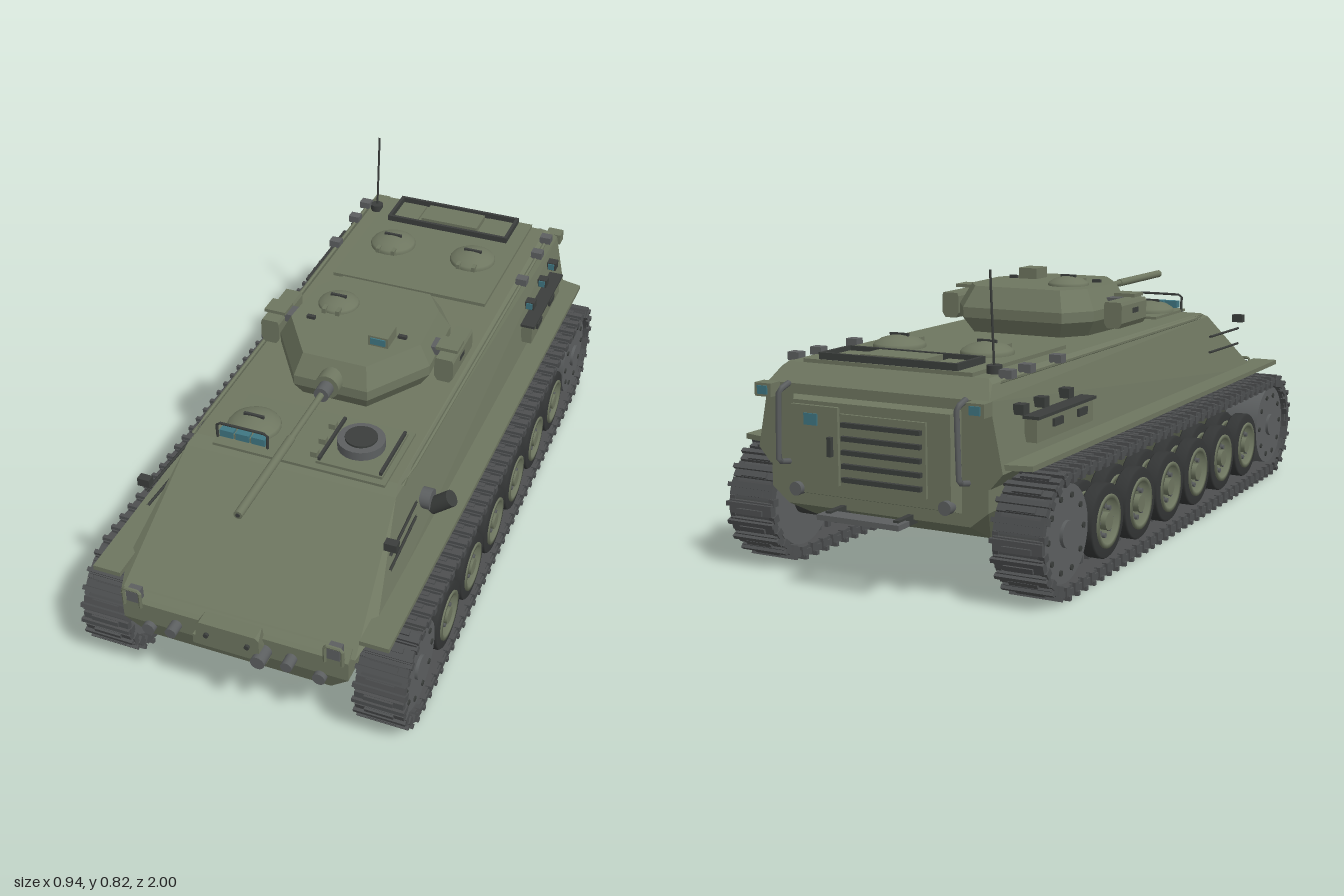
import * as THREE from 'three';
import { mergeGeometries } from 'three/addons/utils/BufferGeometryUtils.js';
import { ConvexGeometry } from 'three/addons/geometries/ConvexGeometry.js';

const mat = (color, flatShading = false) => new THREE.MeshStandardMaterial({ color, flatShading });
const OLIVE = mat(0x6e7660, true), ROUND = mat(0x6e7660), STEEL = mat(0x5c5f60), TRACK = mat(0x4d4f50, true);
const RUBBER = mat(0x343636), DARK = mat(0x3b3e3c), GLASS = mat(0x3f7682);

export function createModel() {
  const model = new THREE.Group();
  let parent = model;
  const add = (name, geo, m, x = 0, y = 0, z = 0) => {
    const mesh = new THREE.Mesh(geo, m);
    mesh.name = name;
    mesh.position.set(x, y, z);
    parent.add(mesh);
    return mesh;
  };
  const box = (name, w, h, d, x, y, z, m = OLIVE) => add(name, new THREE.BoxGeometry(w, h, d), m, x, y, z);
  const cyl = (name, r, h, axis, x, y, z, m = ROUND, r2 = r, n = 20) => {
    const c = add(name, new THREE.CylinderGeometry(r, r2, h, n), m, x, y, z);
    if (axis === 'x') c.rotation.z = -Math.PI / 2;
    if (axis === 'z') c.rotation.x = Math.PI / 2;
    return c;
  };
  const group = (name, build) => {
    const outer = parent;
    parent = new THREE.Group();
    parent.name = name;
    outer.add(parent);
    build(parent);
    parent = outer;
  };
  // Convex solid from the corners of one half
  const solid = (name, half, m = OLIVE) => add(name, new ConvexGeometry(
    half.flatMap(([x, y, z]) => [new THREE.Vector3(x, y, z), new THREE.Vector3(-x, y, z)])), m);
  const rod = (name, pts, r, m = DARK) => add(name, new THREE.TubeGeometry(
    new THREE.CatmullRomCurve3(pts.map(p => new THREE.Vector3(...p)), false, 'catmullrom', 0.05), 16, r, 6), m);
  const sides = fn => [1, -1].forEach(fn);

  group('hull', () => {
    solid('upperHull', [[0.305, 0.545, 0.57], [0.295, 0.56, 0.53], [0.295, 0.562, -0.86], [0.31, 0.55, -0.87],
      [0.325, 0.515, -0.91], [0.36, 0.34, 0.85], [0.36, 0.34, -0.91], [0.335, 0.305, 0.935], [0.325, 0.3, -0.91]]);
    solid('lowerHull', [[0.32, 0.32, 0.92], [0.322, 0.3, 0.95], [0.322, 0.24, 0.95], [0.265, 0.18, 0.93], [0.265, 0.145, 0.84],
      [0.32, 0.31, -0.91], [0.32, 0.24, -0.91], [0.27, 0.2, -0.91], [0.265, 0.145, -0.8]]);
    sides(s => {
      const f = new THREE.Shape([[0.34, 0.92], [0.42, 0.92], [0.425, -0.88], [0.34, -0.9]].map(p => new THREE.Vector2(...p)));
      const fender = add('fender', new THREE.ExtrudeGeometry(f, { depth: 0.014, bevelEnabled: false }), OLIVE, 0, s > 0 ? 0.362 : 0.348, 0);
      fender.rotation.set(Math.PI / 2, 0, 0);
      if (s < 0) fender.rotation.set(-Math.PI / 2, Math.PI, 0, 'YXZ'), fender.rotation.set(Math.PI / 2, Math.PI, 0, 'ZYX');
      if (s < 0) { fender.rotation.set(Math.PI / 2, 0, 0); fender.geometry.rotateY(Math.PI); fender.position.y = 0.348; }
    });
    box('frontDeck', 0.5, 0.008, 0.24, 0.02, 0.564, 0.44);
    box('rearRoofPlate', 0.5, 0.012, 0.51, 0, 0.566, -0.605);
    // Rear roof vent and its frame
    box('roofVent', 0.19, 0.03, 0.09, 0, 0.575, -0.785);
    sides(s => {
      box('ventFrameSide', 0.01, 0.03, 0.14, s * 0.2, 0.575, -0.785, DARK);
      box('ventFrameBar', 0.41, 0.03, 0.01, 0, 0.575, -0.785 + s * 0.065, DARK);
      box('ventFlap', 0.08, 0.015, 0.1, s * 0.15, 0.572, -0.785);
    });
  });

  // Domed hatch with hinge and grab handle
  const hatch = (name, r, x, y, z) => group(name, g => {
    g.position.set(x, y, z);
    const p = [[0, 0.5], [0.3, 0.47], [0.7, 0.36], [0.95, 0.2], [1, 0.12], [1, 0]];
    add('hatchDome', new THREE.LatheGeometry(p.map(q => new THREE.Vector2(q[0] * r, q[1] * r)).reverse(), 24), ROUND);
    box('hatchHandle', r * 0.8, 0.008, 0.008, 0, r * 0.5, 0, DARK);
    sides(s => box('hatchHinge', 0.012, 0.015, 0.025, s * r * 0.35, r * 0.2, r * 0.9));
  });
  sides(s => hatch('rearHatch', 0.072, s * 0.135, 0.57, -0.58));
  hatch('driverHatch', 0.075, -0.155, 0.565, 0.45);

  group('driverPeriscopes', () => {
    for (const x of [-0.2, -0.153, -0.106]) box('periscope', 0.04, 0.022, 0.022, x, 0.585, 0.523, GLASS);
    rod('periscopeGuard', [[-0.228, 0.56, 0.53], [-0.228, 0.615, 0.53], [-0.08, 0.615, 0.53], [-0.08, 0.56, 0.53]], 0.004);
  });
  group('engineFan', () => {
    box('fanPlate', 0.19, 0.012, 0.2, 0.16, 0.57, 0.44);
    cyl('fanCover', 0.066, 0.03, 'y', 0.155, 0.587, 0.435, STEEL);
    cyl('fanCap', 0.045, 0.008, 'y', 0.155, 0.604, 0.435, DARK);
    sides(s => box('fanPlateRail', 0.008, 0.012, 0.19, 0.16 + s * 0.088, 0.58, 0.44, DARK));
    for (const z of [0.38, 0.45, 0.51]) box('fanLatch', 0.02, 0.02, 0.02, 0.05, 0.575, z);
  });

  group('turret', () => {
    const outline = [[0.16, -0.195], [0.22, -0.11], [0.23, 0.1], [0.11, 0.28]];
    const layers = [[0.555, 0.86], [0.605, 1], [0.635, 1], [0.695, 0.86]];
    solid('turretShell', layers.flatMap(([y, k]) => outline.map(([x, z]) => [x * k, y, 0.04 + (z - 0.04) * k])));
    hatch('commanderHatch', 0.06, -0.095, 0.692, -0.02);
    box('sightBody', 0.06, 0.035, 0.07, 0.09, 0.71, 0.11);
    box('sightGlass', 0.045, 0.02, 0.006, 0.09, 0.712, 0.146, GLASS);
    sides(s => {
      const p = [[0.018, 0.66], [0.022, 0.65], [0.022, 0.6], [0.012, 0.585]];
      const pod = solid('sidePod', p.flatMap(([w, y]) => [[w + 0.006, y, 0.09], [w + 0.006, y, -0.085]]));
      pod.position.x = s * 0.268;
      box('podArm', 0.06, 0.025, 0.05, s * 0.215, 0.65, 0.02, STEEL);
      box('podLid', 0.065, 0.01, 0.06, s * 0.265, 0.672, 0.03);
      box('podLatch', 0.006, 0.015, 0.04, s * 0.294, 0.63, 0.01, DARK);
      box('turretLug', 0.025, 0.012, 0.012, s * 0.14, 0.698, 0.08, DARK);
    });
    // Gun
    cyl('mantlet', 0.036, 0.08, 'z', 0, 0.64, 0.265);
    cyl('gunCollar', 0.022, 0.05, 'z', 0, 0.64, 0.32, STEEL);
    cyl('barrel', 0.009, 0.5, 'z', 0, 0.64, 0.55);
    cyl('barrelSleeve', 0.012, 0.33, 'z', 0, 0.64, 0.715);
    cyl('bore', 0.006, 0.004, 'z', 0, 0.64, 0.88, DARK);
  });

  group('noseFittings', () => {
    box('noseLip', 0.62, 0.012, 0.02, 0, 0.303, 0.945);
    solid('nosePlate', [[0.09, 0.325, 0.985], [0.08, 0.335, 0.985], [0.09, 0.262, 0.985], [0.08, 0.335, 0.94], [0.09, 0.262, 0.94]]);
    box('noseStep', 0.21, 0.03, 0.03, 0, 0.26, 0.96);
    cyl('towHorn', 0.02, 0.06, 'z', 0.09, 0.264, 0.97, STEEL);
    sides(s => {
      cyl('plateBolt', 0.007, 0.01, 'z', s * 0.058, 0.3, 0.988, DARK);
      cyl('towEye', 0.016, 0.045, 'z', s * 0.165, 0.264, 0.965, STEEL);
      cyl('drainCap', 0.018, 0.02, 'z', s * 0.245, 0.23, 0.955, STEEL);
      box('headlamp', 0.035, 0.035, 0.03, s * 0.285, 0.33, 0.945, STEEL);
      rod('headlampGuard', [[s * 0.31, 0.3, 0.96], [s * 0.31, 0.355, 0.96], [s * 0.262, 0.355, 0.96], [s * 0.262, 0.3, 0.96]], 0.005, OLIVE);
    });
  });

  group('sideFittings', () => {
    sides(s => {
      for (const y of [0.44, 0.49]) rod('glacisRod', [[s * 0.34, y, 0.5], [s * 0.35, y, 0.73]], 0.004);
      box('cornerLamp', 0.035, 0.024, 0.024, s * 0.352, 0.524, 0.725, DARK);
      rod('roofEdgeRail', [[s * 0.308, 0.552, 0.52], [s * 0.313, 0.552, -0.84]], 0.006, OLIVE);
      // Stowage rack and lamps
      box('stowageBox', 0.035, 0.06, 0.32, s * 0.362, 0.423, -0.61);
      box('stowageRail', 0.045, 0.008, 0.33, s * 0.365, 0.456, -0.61, DARK);
      for (const z of [-0.52, -0.66]) box('stowageLatch', 0.008, 0.02, 0.05, s * 0.382, 0.43, z, DARK);
      for (const z of [-0.54, -0.68, -0.79]) {
        box('lampBody', 0.03, 0.026, 0.03, s * 0.346, 0.48, z, DARK);
        box('lampGlass', 0.02, 0.02, 0.006, s * 0.346, 0.48, z + 0.016, GLASS);
      }
      for (const z of [-0.53, -0.7, -0.8]) box('roofLamp', 0.035, 0.022, 0.03, s * 0.315, 0.566, z, STEEL);
    });
    cyl('exhaustBase', 0.03, 0.03, 'x', 0.345, 0.445, 0.43, STEEL);
    cyl('exhaustPipe', 0.024, 0.07, 'x', 0.385, 0.44, 0.425, DARK).rotation.z = -0.9;
    cyl('antennaBase', 0.02, 0.025, 'y', -0.27, 0.57, -0.785, DARK);
    rod('antenna', [[-0.27, 0.57, -0.787], [-0.27, 0.82, -0.805]], 0.0035);
  });

  group('rearFittings', () => {
    solid('rearRamp', [[0.25, 0.23, -0.905], [0.25, 0.49, -0.905], [0.23, 0.24, -0.935], [0.23, 0.48, -0.935]]);
    box('rearDoor', 0.14, 0.2, 0.014, 0.16, 0.37, -0.938);
    box('doorWindow', 0.04, 0.03, 0.006, 0.17, 0.435, -0.946, GLASS);
    box('doorHandle', 0.012, 0.05, 0.014, 0.11, 0.37, -0.95, DARK);
    box('louvrePanel', 0.25, 0.19, 0.01, -0.04, 0.36, -0.938);
    for (let i = 0; i < 5; i++) box('louvre', 0.23, 0.012, 0.016, -0.04, 0.29 + i * 0.035, -0.947, DARK);
    box('rearStep', 0.24, 0.014, 0.05, 0, 0.2, -0.975, STEEL);
    sides(s => {
      box('stepBracket', 0.015, 0.025, 0.09, s * 0.1, 0.2, -0.935, DARK);
      rod('rearGrab', [[s * 0.265, 0.31, -0.91], [s * 0.265, 0.32, -0.955], [s * 0.26, 0.5, -0.955], [s * 0.26, 0.515, -0.91]], 0.008, STEEL);
      box('tailLamp', 0.05, 0.035, 0.04, s * 0.31, 0.5, -0.935);
      box('tailLampGlass', 0.03, 0.022, 0.006, s * 0.31, 0.5, -0.956, GLASS);
      cyl('rearTowEye', 0.018, 0.03, 'z', s * 0.22, 0.25, -0.935, STEEL);
    });
  });

  // Running gear: oval track, end drums and six double road wheels per side
  const zF = 0.772, zR = -0.752, cy = 0.168, run = zF - zR;
  const oval = (Type, r) => {
    const p = new Type();
    p.absarc(zF, cy, r, -Math.PI / 2, Math.PI / 2, false);
    p.absarc(zR, cy, r, Math.PI / 2, Math.PI * 1.5, false);
    return p;
  };
  const belt = oval(THREE.Shape, 0.15);
  belt.holes.push(oval(THREE.Path, 0.132));
  const beltGeo = new THREE.ExtrudeGeometry(belt, { depth: 0.125, bevelEnabled: false, curveSegments: 20 });
  beltGeo.rotateY(-Math.PI / 2).translate(0.0625, 0, 0);
  const arc = Math.PI * 0.152, total = 2 * (run + arc), links = 84, parts = [];
  for (let i = 0; i < links; i++) {
    let d = (i / links) * total, z, y = cy, a;
    const second = d >= total / 2;
    if (second) d -= total / 2;
    a = d < run ? 0 : ((d - run) / arc) * Math.PI;
    z = zR + Math.min(d, run);
    if (second) { z = zR + zF - z; a += Math.PI; }
    const m = new THREE.Matrix4().makeTranslation(0, y, z).multiply(new THREE.Matrix4().makeRotationX(a));
    const b = (w, h, l, x, r, dz = 0) => parts.push(new THREE.BoxGeometry(w, h, l).translate(x, r, dz).applyMatrix4(m));
    b(0.135, 0.018, 0.036, 0, 0.149);
    b(0.145, 0.012, 0.012, 0, 0.161, 0.008);
    b(0.08, 0.009, 0.014, 0, 0.16, -0.01);
    b(0.012, 0.025, 0.016, 0, 0.122);
    sides(s => b(0.016, 0.022, 0.02, s * 0.063, 0.14, 0.018));
  }
  const linkGeo = mergeGeometries(parts);
  const tyre = new THREE.LatheGeometry([[0.068, -0.022], [0.096, -0.022], [0.1, -0.017], [0.1, 0.017], [0.096, 0.022], [0.068, 0.022]]
    .map(p => new THREE.Vector2(...p)), 32).rotateZ(-Math.PI / 2);
  const rim = new THREE.LatheGeometry([[0, -0.006], [0.052, -0.006], [0.06, -0.026], [0.072, -0.026], [0.072, 0.026], [0.06, 0.026],
    [0.052, 0.006], [0, 0.006]].map(p => new THREE.Vector2(...p)), 28).rotateZ(-Math.PI / 2);
  const bolts = (name, n, r, size, x, y, z, m) => {
    for (let i = 0; i < n; i++) {
      const a = (i / n) * Math.PI * 2;
      cyl(name, size, 0.012, 'x', x, y + Math.sin(a) * r, z + Math.cos(a) * r, m, size, 8);
    }
  };
  sides(s => group(s > 0 ? 'leftRunningGear' : 'rightRunningGear', () => {
    add('trackBelt', beltGeo, TRACK, s * 0.397);
    add('trackLinks', linkGeo, TRACK, s * 0.397);
    for (const z of [zF, zR]) {
      cyl('endDrum', 0.126, 0.11, 'x', s * 0.395, cy, z, STEEL, 0.126, 32);
      cyl('endDrumHub', 0.035, 0.014, 'x', s * 0.452, cy, z, STEEL);
      bolts('drumBolt', 10, 0.098, 0.008, s * 0.448, cy, z, DARK);
      cyl('axle', 0.04, 0.09, 'x', s * 0.31, cy, z, DARK);
    }
    for (let i = 0; i < 6; i++) {
      const z = 0.54 - i * 0.21, y = 0.143;
      for (const x of [0.36, 0.432]) {
        add('roadWheelTyre', tyre, RUBBER, s * x, y, z);
        add('roadWheelRim', rim, ROUND, s * x, y, z);
      }
      cyl('roadWheelHub', 0.024, 0.045, 'x', s * 0.435, y, z, ROUND);
      cyl('roadWheelAxle', 0.02, 0.15, 'x', s * 0.35, y, z, DARK);
      bolts('wheelBolt', 8, 0.04, 0.007, s * 0.441, y, z, STEEL);
    }
  }));
  return model;
}
